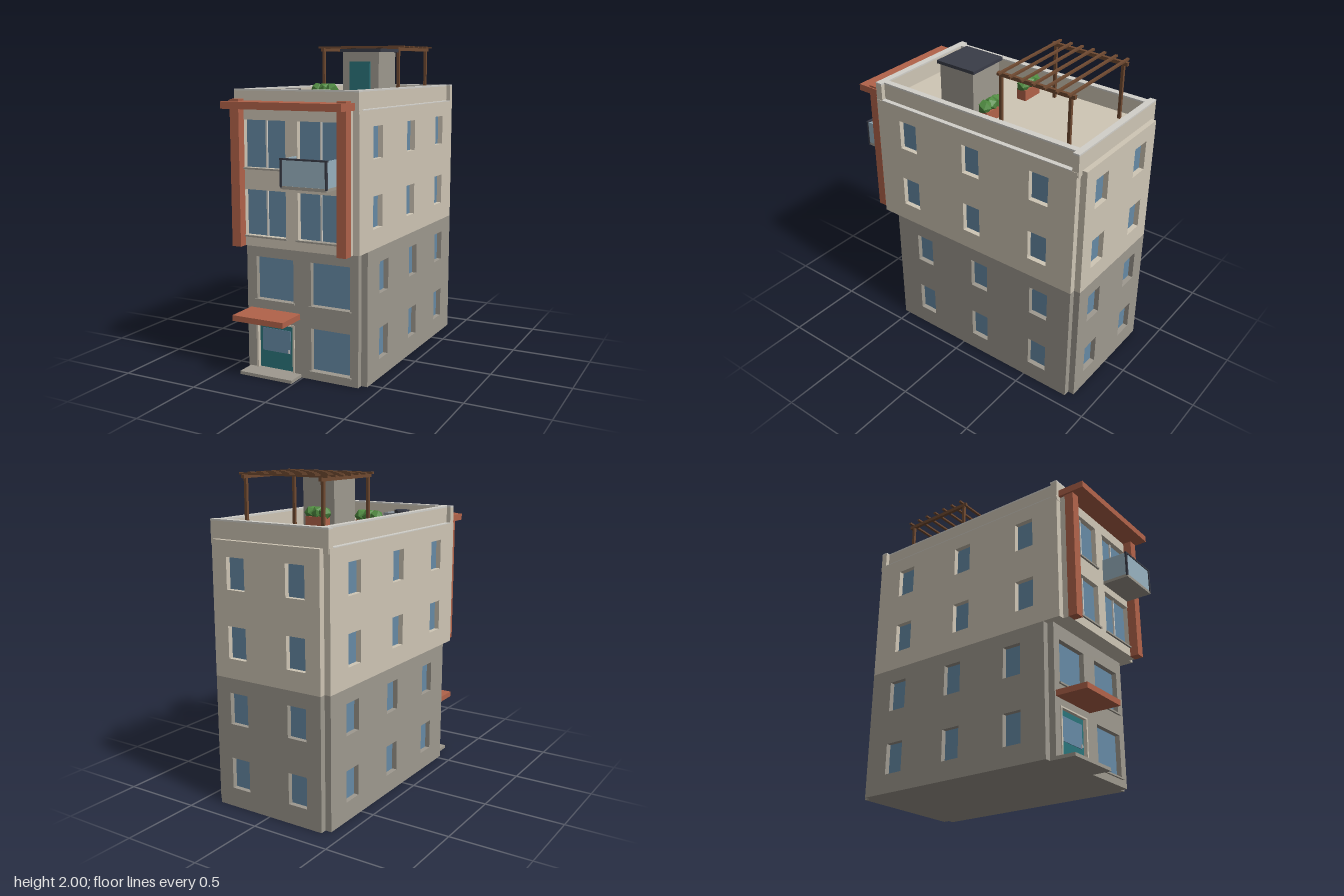
import * as THREE from 'three';

const COLORS = {
  cream: 0xcfc6b5, stone: 0x9e998f, cap: 0xd2d0ca, rust: 0xb2634a, glass: 0x668aa5, pale: 0x98b2c0,
  teal: 0x2b747a, wood: 0x704a31, dark: 0x3a3d48, metal: 0x8a929a, leaf: 0x4f8a40, grey: 0xcccccc,
};
const mats = {};
for (const k in COLORS) {
  mats[k] = new THREE.MeshStandardMaterial({ color: COLORS[k], flatShading: true });
}

function add(parent, name, geo, mat) {
  const m = new THREE.Mesh(geo, mats[mat]);
  m.name = name;
  parent.add(m);
  return m;
}

// Box given by its limits on each axis
function box(parent, name, mat, [x0, x1], [y0, y1], [z0, z1]) {
  const m = add(parent, name, new THREE.BoxGeometry(x1 - x0, y1 - y0, z1 - z0), mat);
  m.position.set((x0 + x1) / 2, (y0 + y1) / 2, (z0 + z1) / 2);
  return m;
}

function rect(path, [x0, x1, y0, y1]) {
  return path.moveTo(x0, y0).lineTo(x1, y0).lineTo(x1, y1).lineTo(x0, y1).closePath();
}

const T = 0.04; // wall thickness

// Wall facing local +z with window openings and recessed panes
function wall(parent, name, mat, limits, windows) {
  const g = new THREE.Group();
  g.name = name;
  parent.add(g);
  const shape = rect(new THREE.Shape(), limits);
  for (const w of windows) shape.holes.push(rect(new THREE.Path(), w));
  add(g, name + 'Panel', new THREE.ExtrudeGeometry(shape, { depth: T, bevelEnabled: false }), mat);
  for (const [x0, x1, y0, y1] of windows) box(g, 'windowPane', 'glass', [x0, x1], [y0, y1], [-0.002, 0.008]);
  return g;
}

// Grid of openings from column and row ranges
const grid = (cols, rows) => cols.flatMap(c => rows.map(r => [...c, ...r]));
const flip = cols => cols.map(([a, b]) => [-b, -a]);

// One storey block: core, front wall, back wall and two side walls
function block(parent, name, mat, y0, y1, zFront, frontWindows, sideCols, rows) {
  const g = new THREE.Group();
  g.name = name;
  parent.add(g);
  box(g, 'core', mat, [-0.375, 0.375], [y0, y1], [-0.82, zFront]);
  const front = wall(g, 'frontWall', mat, [-0.375, 0.375, y0, y1], frontWindows);
  front.position.z = zFront;
  const back = wall(g, 'backWall', mat, [-0.375, 0.375, y0, y1], grid([[-0.275, -0.145], [0.145, 0.275]], rows));
  back.rotation.y = Math.PI;
  back.position.z = -0.82;
  const right = wall(g, 'rightWall', mat, [-0.82, zFront, y0, y1], grid(sideCols, rows));
  right.rotation.y = -Math.PI / 2;
  right.position.x = -0.375;
  const left = wall(g, 'leftWall', mat, [-zFront, 0.82, y0, y1], grid(flip(sideCols), rows));
  left.rotation.y = Math.PI / 2;
  left.position.x = 0.375;
  return front;
}

function addSill(front, [x0, x1, y0]) {
  box(front, 'windowSill', 'stone', [x0 - 0.01, x1 + 0.01], [y0 - 0.01, y0], [0.005, T + 0.012]);
}

function buildEntrance(g) {
  box(g, 'door', 'teal', [-0.31, -0.07], [0.02, 0.31], [0.54, 0.56]);
  box(g, 'doorWindow', 'glass', [-0.29, -0.09], [0.13, 0.275], [0.555, 0.564]);
  box(g, 'doorHandle', 'grey', [-0.105, -0.095], [0.135, 0.155], [0.56, 0.572]);
  for (const x of [-0.325, -0.067]) box(g, 'doorJamb', 'cream', [x, x + 0.012], [0.02, 0.31], [0.54, 0.582]);
  box(g, 'doorHead', 'cream', [-0.325, -0.055], [0.31, 0.32], [0.54, 0.582]);
  box(g, 'frontStep', 'stone', [-0.375, -0.01], [0, 0.02], [0.54, 0.695]);
  box(g, 'canopy', 'rust', [-0.365, -0.015], [0.365, 0.4], [0.56, 0.78]);
}

function buildBalcony(g) {
  box(g, 'balconyFloor', 'stone', [0.03, 0.32], [1.2, 1.218], [0.67, 0.855]);
  box(g, 'frontGlass', 'pale', [0.03, 0.32], [1.218, 1.365], [0.846, 0.852]);
  box(g, 'frontRail', 'dark', [0.025, 0.325], [1.363, 1.373], [0.843, 0.857]);
  for (const x of [0.03, 0.314]) {
    box(g, 'sideGlass', 'pale', [x, x + 0.006], [1.218, 1.368], [0.685, 0.848]);
    box(g, 'railPost', 'dark', [x - 0.003, x + 0.009], [1.21, 1.37], [0.846, 0.858]);
  }
}

function buildParapet(g) {
  const strip = (name, x, z) => {
    box(g, name, 'cream', x, [1.6, 1.732], z);
    box(g, name + 'Cap', 'cap', x, [1.732, 1.742], z);
  };
  strip('frontParapet', [-0.412, 0.412], [0.602, 0.647]);
  strip('backParapet', [-0.412, 0.412], [-0.828, -0.787]);
  strip('leftParapet', [0.345, 0.385], [-0.787, 0.602]);
  strip('rightParapet', [-0.385, -0.345], [-0.787, 0.602]);
  for (const s of [-1, 1]) {
    const x = s * 0.4;
    box(g, 'sideLedge', 'cap', [x - 0.015, x + 0.015], [1.629, 1.634], [-0.787, 0.602]);
  }
}

function buildPergola(g) {
  for (const x of [-0.27, 0.27]) {
    for (const z of [-0.67, -0.208]) box(g, 'pergolaPost', 'wood', [x - 0.009, x + 0.009], [1.63, 1.975], [z - 0.009, z + 0.009]);
    box(g, 'pergolaBeam', 'wood', [x - 0.01, x + 0.01], [1.968, 1.99], [-0.7, -0.185]);
  }
  for (let i = 0; i < 7; i++) {
    const z = -0.676 + i * 0.077;
    box(g, 'pergolaSlat', 'wood', [-0.31, 0.31], [1.988, 2], [z - 0.008, z + 0.008]);
  }
}

function buildPlanter(g, x) {
  box(g, 'planterBox', 'rust', [x - 0.075, x + 0.075], [1.63, 1.7], [-0.1, -0.035]);
  for (let i = -1; i <= 1; i++) {
    const bush = add(g, 'bush', new THREE.IcosahedronGeometry(0.045, 0), 'leaf');
    bush.position.set(x + i * 0.052, 1.722, -0.066);
    bush.rotation.y = i * 0.8 + 0.3;
  }
}

function buildRoofUnit(g) {
  box(g, 'coolerBody', 'metal', [-0.27, -0.115], [1.635, 1.715], [0.235, 0.34]);
  box(g, 'coolerVent', 'dark', [-0.175, -0.13], [1.65, 1.7], [0.335, 0.346]);
  const fan = add(g, 'coolerFan', new THREE.CylinderGeometry(0.05, 0.05, 0.02, 8), 'dark');
  fan.position.set(-0.22, 1.724, 0.287);
}

function buildStairHouse(g) {
  box(g, 'stairHouseWalls', 'stone', [0.08, 0.32], [1.63, 1.958], [-0.045, 0.197]);
  box(g, 'stairHouseRoof', 'dark', [0.067, 0.335], [1.956, 1.975], [-0.063, 0.208]);
  box(g, 'stairHouseDoor', 'teal', [0.13, 0.265], [1.63, 1.9], [0.19, 0.206]);
}

export function createModel() {
  const model = new THREE.Group();
  model.name = 'townHouse';
  const part = (name, build, ...args) => {
    const g = new THREE.Group();
    g.name = name;
    model.add(g);
    build(g, ...args);
  };

  // Lower two storeys
  const lowWin = [[-0.32, -0.06, 0.46, 0.725], [0.06, 0.32, 0.46, 0.725], [0.06, 0.32, 0.055, 0.32]];
  const doorway = [-0.32, -0.06, 0.012, 0.315];
  const lowFront = block(model, 'lowerStoreys', 'stone', 0, 0.815, 0.535, [...lowWin, doorway],
    [[0.245, 0.37], [-0.205, -0.08], [-0.66, -0.53]], [[0.12, 0.315], [0.53, 0.725]]);
  lowWin.forEach(w => addSill(lowFront, w));

  // Upper two storeys, overhanging at the front
  const upWin = [[-0.32, -0.04, 0.88, 1.155], [0.04, 0.32, 0.88, 1.155], [-0.32, -0.04, 1.285, 1.565]];
  const balconyDoor = [0.04, 0.32, 1.215, 1.565];
  const upFront = block(model, 'upperStoreys', 'cream', 0.815, 1.63, 0.645, [...upWin, balconyDoor],
    [[0.335, 0.465], [-0.15, -0.025], [-0.64, -0.51]], [[0.935, 1.13], [1.345, 1.535]]);
  upWin.forEach(w => addSill(upFront, w));
  for (const [x0, x1, y0, y1] of [...upWin, balconyDoor]) {
    const x = (x0 + x1) / 2;
    box(upFront, 'mullion', 'cap', [x - 0.005, x + 0.005], [y0, y1], [0, 0.018]);
  }

  // Front frame of two posts and a broad beam
  for (const x of [-0.35, 0.35]) box(model, 'framePost', 'rust', [x - 0.03, x + 0.03], [0.815, 1.685], [0.683, 0.74]);
  box(model, 'frameBeam', 'rust', [-0.392, 0.388], [1.632, 1.674], [0.645, 0.818]);

  part('entrance', buildEntrance);
  part('balcony', buildBalcony);
  part('parapet', buildParapet);
  part('pergola', buildPergola);
  part('rightPlanter', buildPlanter, -0.19);
  part('leftPlanter', buildPlanter, 0.19);
  part('roofCooler', buildRoofUnit);
  part('stairHouse', buildStairHouse);
  return model;
}
